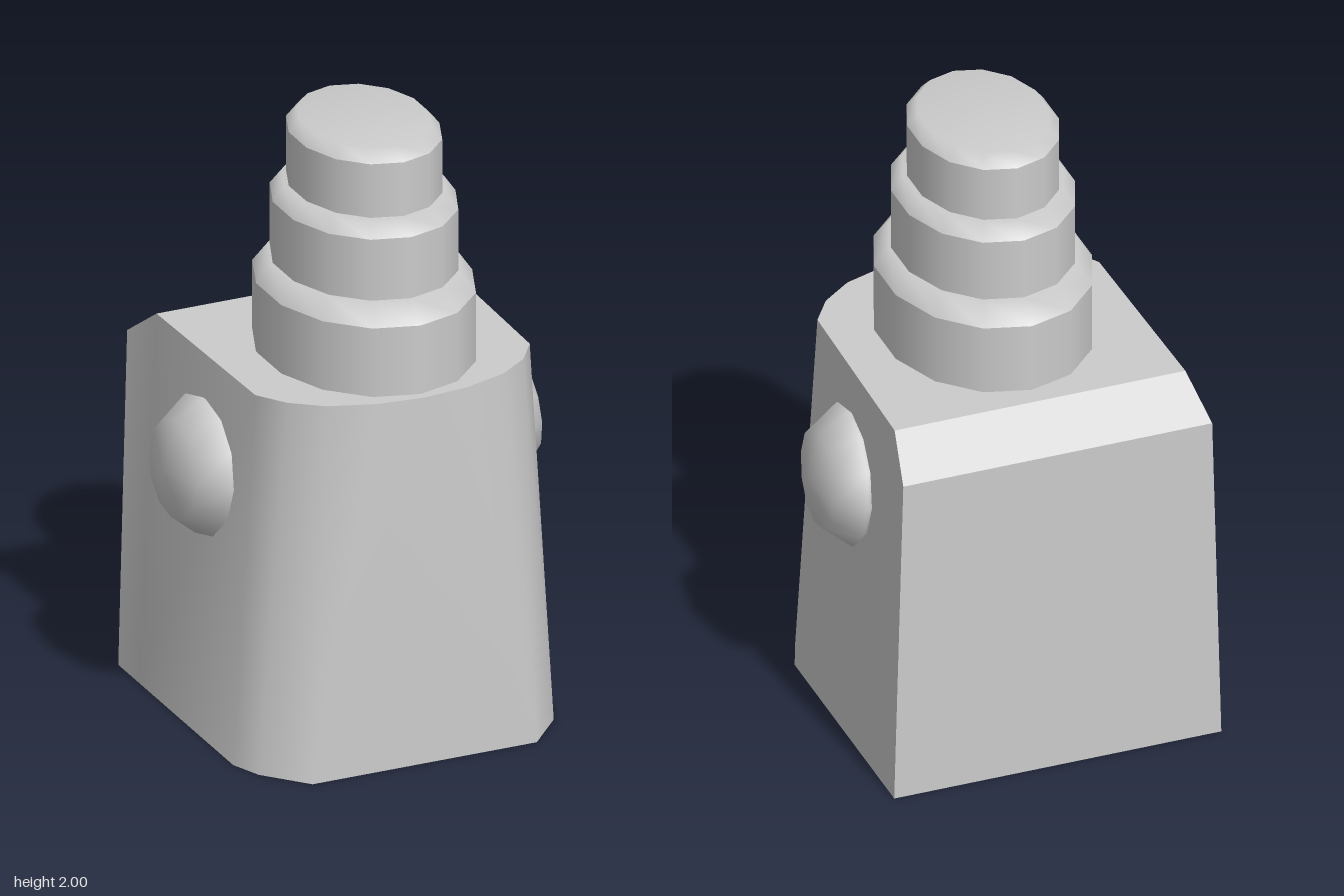
import * as THREE from 'three';
import { mergeGeometries, toCreasedNormals } from 'three/addons/utils/BufferGeometryUtils.js';

const material = new THREE.MeshStandardMaterial({ color: 0xcccccc, side: THREE.DoubleSide });

function addMesh(parent, name, geometry) {
  const mesh = new THREE.Mesh(geometry, material);
  mesh.name = name;
  parent.add(mesh);
  return mesh;
}

// Geometry from a list of corner points, three per triangle
function fromTriangles(points) {
  const geometry = new THREE.BufferGeometry().setFromPoints(points);
  geometry.computeVertexNormals();
  return geometry;
}

// Flat convex polygon as a triangle fan
function polygon(points) {
  const triangles = [];
  for (let i = 1; i < points.length - 1; i++) triangles.push(points[0], points[i], points[i + 1]);
  return fromTriangles(triangles);
}

const V = (x, y, z) => new THREE.Vector3(x, y, z);
const mirror = (p) => V(-p.x, p.y, p.z);

// Tapered body: square at the back, rounded towards the front, open underneath
function createBody() {
  const body = new THREE.Group();
  body.name = 'body';

  // Wall columns on the left half, back to front: [bottom, top]
  const half = [
    [V(0.54, 0, -0.54), V(0.51, 1.12, -0.54)],
    [V(0.54, 0, -0.39), V(0.48, 1.23, -0.39)],
    [V(0.54, 0, 0.30), V(0.465, 1.23, 0.30)],
    [V(0.50, 0, 0.40), V(0.40, 1.23, 0.395)],
    [V(0.38, 0, 0.535), V(0.30, 1.23, 0.47)],
    [V(0.38, 0, 0.535), V(0.15, 1.23, 0.52)],
    [V(0.38, 0, 0.535), V(0, 1.23, 0.535)],
  ];
  const columns = [...half, ...half.map((c) => c.map(mirror)).reverse()];

  const walls = [];
  const addTriangle = (a, b, c) => {
    if (!a.equals(b) && !b.equals(c) && !a.equals(c)) walls.push(a, b, c);
  };
  for (let i = 0; i < columns.length - 1; i++) {
    const [b0, t0] = columns[i];
    const [b1, t1] = columns[i + 1];
    addTriangle(b0, t0, b1);
    addTriangle(b1, t0, t1);
  }
  addMesh(body, 'sideAndFrontWalls', toCreasedNormals(fromTriangles(walls), 1.0));

  const [b0, t0] = half[0];
  const t1 = half[1][1];
  addMesh(body, 'backWall', polygon([b0, mirror(b0), mirror(t0), t0]));
  addMesh(body, 'backBevel', polygon([t0, mirror(t0), mirror(t1), t1]));

  const rim = columns.slice(1, -1).map((c) => c[1]).filter((p, i, a) => !i || !p.equals(a[i - 1]));
  addMesh(body, 'topDeck', polygon(rim.reverse()));
  return body;
}

// Oval tier with a bevelled rim, 14 sides
function createTier(rx, rz, y0, y1, y2, inset) {
  const lathe = (points) =>
    new THREE.LatheGeometry(points.map(([r, y]) => new THREE.Vector2(r, y)), 14);
  const r = 1 - inset / rx;
  const geometry = mergeGeometries([
    lathe([[1, y0], [1, y1]]),
    lathe([[1, y1], [r, y2], [0, y2]]),
  ]);
  geometry.scale(rx, 1, rz);
  geometry.translate(0, 0, 0.092);
  return geometry;
}

export function createModel() {
  const model = new THREE.Group();
  model.name = 'steppedTower';
  model.add(createBody());

  // Stacked tiers
  const tiers = [
    ['lowerTier', 0.332, 0.414, 1.23, 1.46, 1.525, 0.045],
    ['middleTier', 0.281, 0.346, 1.525, 1.73, 1.78, 0.035],
    ['upperTier', 0.231, 0.292, 1.78, 1.96, 2.0, 0.032],
  ];
  for (const [name, ...size] of tiers) addMesh(model, name, createTier(...size));

  // Side domes, tilted to follow the tapering walls
  for (const side of [1, -1]) {
    const geometry = new THREE.SphereGeometry(1, 12, 4);
    geometry.rotateZ(-side * Math.PI / 2);
    geometry.scale(0.127, 0.225, 0.225);
    const dome = addMesh(model, side > 0 ? 'leftDome' : 'rightDome', geometry);
    dome.position.set(side * 0.503, 0.87, -0.03);
    dome.rotation.set(0, -side * 0.05, side * 0.06);
  }
  return model;
}
